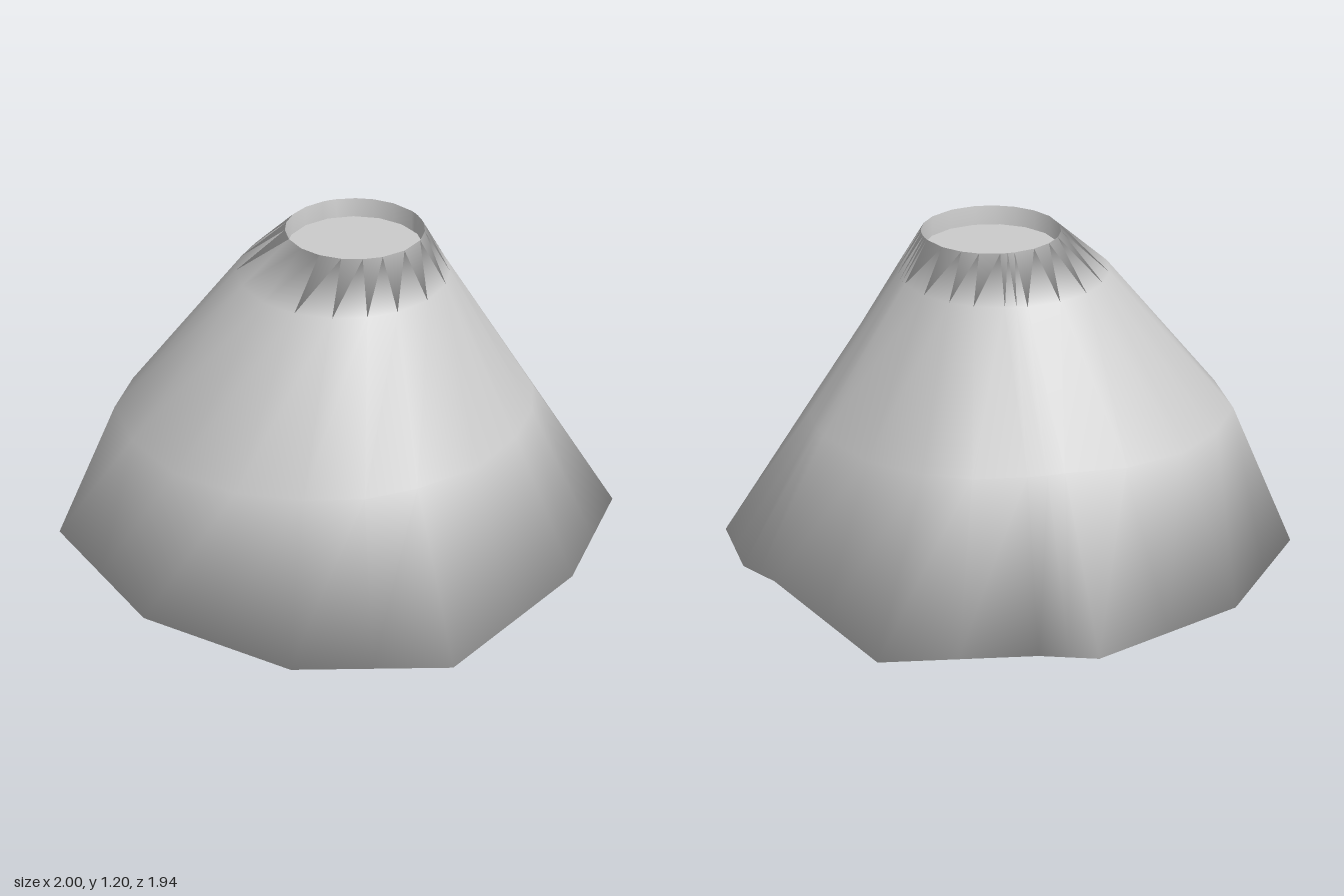
import * as THREE from 'three';

// Twelve spines around the mountain: [foot x, foot z, radius at mid height]
const SPINES = [
  [1.0, 0.27, 0.70], [0.61, 0.66, 0.66], [-0.02, 0.97, 0.65], [-0.53, 0.76, 0.69],
  [-0.89, 0.28, 0.77], [-1.0, -0.36, 0.83], [-0.63, -0.77, 0.76], [-0.07, -0.97, 0.63],
  [0.12, -0.90, 0.63], [0.65, -0.80, 0.67], [0.89, -0.17, 0.70], [0.98, -0.03, 0.70],
];
const CENTRE_X = 0.05, CENTRE_Z = -0.02;   // axis of the crater
const HEIGHT = 1.2, RIM = 0.245;

// Add a halfway spine between each pair so the crater stays round
function denseSpines() {
  const out = [];
  SPINES.forEach((s, i) => {
    const n = SPINES[(i + 1) % SPINES.length];
    out.push(s, s.map((v, k) => (v + n[k]) / 2));
  });
  return out;
}

// Closed loop of rings: foot, flank, shoulder, rim, then down the shaft and back to the foot
function mountainGeometry() {
  const spines = denseSpines();
  const n = spines.length;
  const ringAt = (radius, y) => (s) => {
    const a = Math.atan2(s[1], s[0]);
    const r = radius(s, a);
    return [CENTRE_X + r * Math.cos(a), y, CENTRE_Z + r * Math.sin(a)];
  };
  const rings = [
    (s) => [s[0], 0, s[1]],
    (s) => {
      const a = Math.atan2(s[1], s[0]);
      return [s[2] * Math.cos(a), 0.53, s[2] * Math.sin(a)];
    },
    ringAt((s, a) => 0.375 - 0.045 * Math.cos(a), 1.05),
    ringAt(() => RIM, HEIGHT),
    ringAt(() => RIM, 0),
  ];
  const pos = [], index = [];
  rings.forEach((ring) => spines.forEach((s) => pos.push(...ring(s))));
  for (let j = 0; j < rings.length; j++) {
    const k = (j + 1) % rings.length;
    for (let i = 0; i < n; i++) {
      const m = (i + 1) % n;
      const a = j * n + i, b = j * n + m, c = k * n + i, d = k * n + m;
      index.push(a, c, b, b, c, d);
    }
  }
  const geo = new THREE.BufferGeometry();
  geo.setAttribute('position', new THREE.Float32BufferAttribute(pos, 3));
  geo.setIndex(index);
  geo.computeVertexNormals();
  return geo;
}

export function createModel() {
  const group = new THREE.Group();
  group.name = 'volcano';
  const material = new THREE.MeshStandardMaterial({ color: 0xcccccc, side: THREE.DoubleSide });

  const mountain = new THREE.Mesh(mountainGeometry(), material);
  mountain.name = 'mountain';
  group.add(mountain);

  // Flat discs closing the shaft just inside each end
  [['craterFloor', HEIGHT - 0.07, -1], ['shaftBottom', 0.07, 1]].forEach(([name, y, dir]) => {
    const disc = new THREE.Mesh(new THREE.CircleGeometry(RIM - 0.003, 16), material);
    disc.name = name;
    disc.rotation.x = dir * Math.PI / 2;
    disc.position.set(CENTRE_X, y, CENTRE_Z);
    group.add(disc);
  });
  return group;
}
